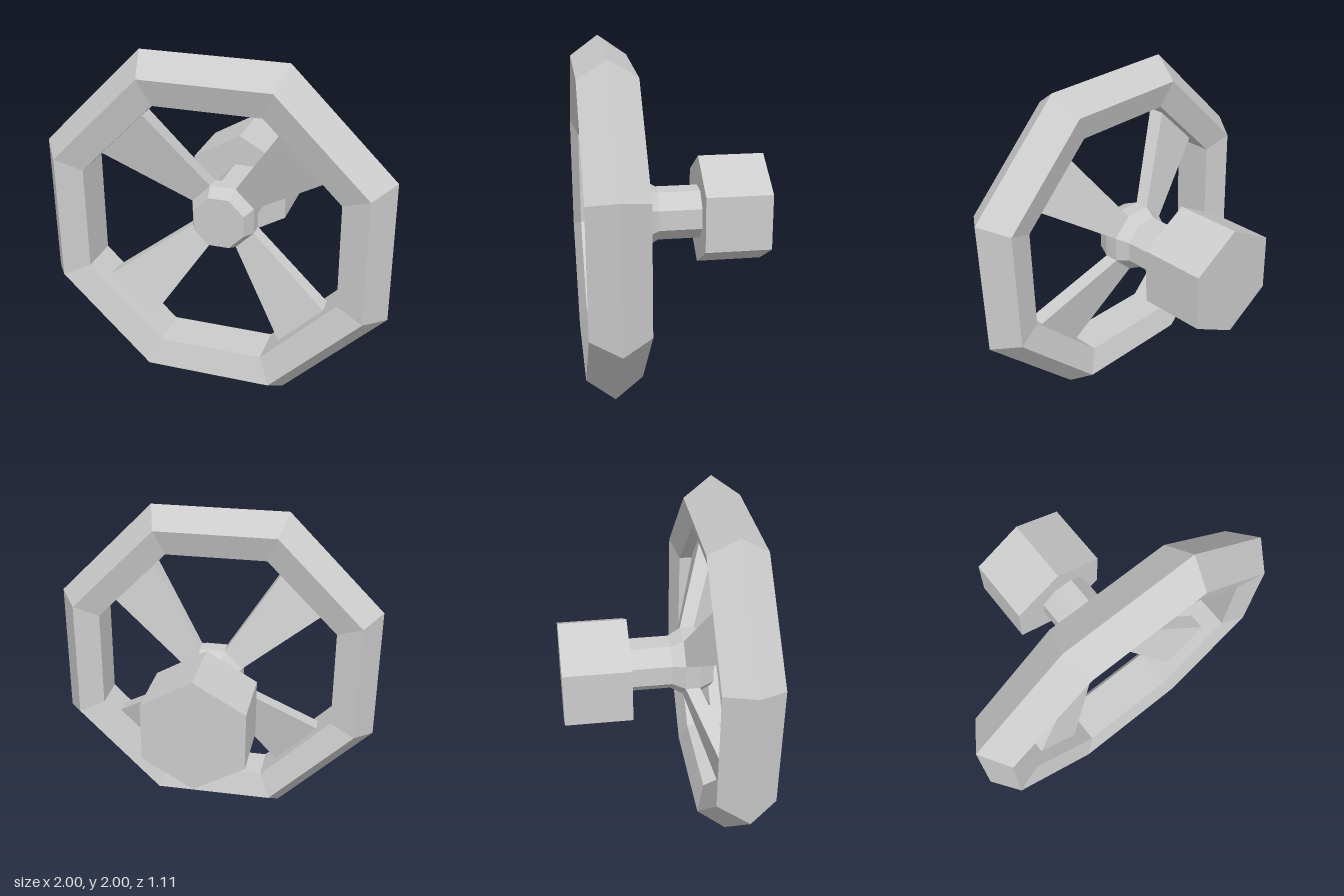
import * as THREE from 'three';

const material = new THREE.MeshStandardMaterial({ color: 0xcccccc, flatShading: true });

// Eight-sided solid around the z axis from [flat-to-centre distance, z] pairs,
// with flats facing up, down and sideways.
function octagonal(profile) {
  const toCorner = 1 / Math.cos(Math.PI / 8);
  const points = profile.map(([r, z]) => new THREE.Vector2(r * toCorner, z));
  return new THREE.LatheGeometry(points, 8, Math.PI / 8).rotateX(Math.PI / 2);
}

// Tapered spoke along +y: narrow on the hub flat, wide and further forward at the rim.
function spokeGeometry() {
  const hub = { y: 0.185, width: 0.153, back: 0.165, front: 0.25 };
  const rim = { y: 0.738, width: 0.36, back: 0.34, front: 0.44 };
  const geometry = new THREE.BoxGeometry(1, 1, 1);
  const pos = geometry.attributes.position;
  for (let i = 0; i < pos.count; i++) {
    const end = pos.getY(i) > 0 ? rim : hub;
    pos.setXYZ(i, pos.getX(i) * end.width, end.y, pos.getZ(i) > 0 ? end.front : end.back);
  }
  geometry.computeVertexNormals();
  return geometry;
}

export function createModel() {
  const model = new THREE.Group();
  model.name = 'valveWheel';

  function add(name, geometry, x = 0, z = 0) {
    const mesh = new THREE.Mesh(geometry, material);
    mesh.name = name;
    mesh.position.set(x, 1, z);
    model.add(mesh);
    return mesh;
  }

  // Rim with a five-sided section: outer ridge, two slopes, flat inner wall
  add('rim', octagonal([
    [0.735, 0.268], [0.888, 0.223], [1, 0.39], [0.888, 0.557], [0.735, 0.512], [0.735, 0.268],
  ]));

  // Shaft flaring into the hub, with a chamfered front
  add('hubAndShaft', octagonal([
    [0, -0.17], [0.147, -0.17], [0.147, 0.09], [0.185, 0.165], [0.185, 0.25], [0.15, 0.335], [0, 0.335],
  ]));

  // Four diagonal spokes
  const spoke = spokeGeometry();
  for (let i = 0; i < 4; i++) {
    add('spoke', spoke).rotation.z = Math.PI / 4 + i * Math.PI / 2;
  }

  // Six-sided block at the back, slightly off the shaft's axis
  add('hexBlock', new THREE.CylinderGeometry(0.337, 0.337, 0.395, 6).rotateX(Math.PI / 2), -0.03, -0.36);

  return model;
}
